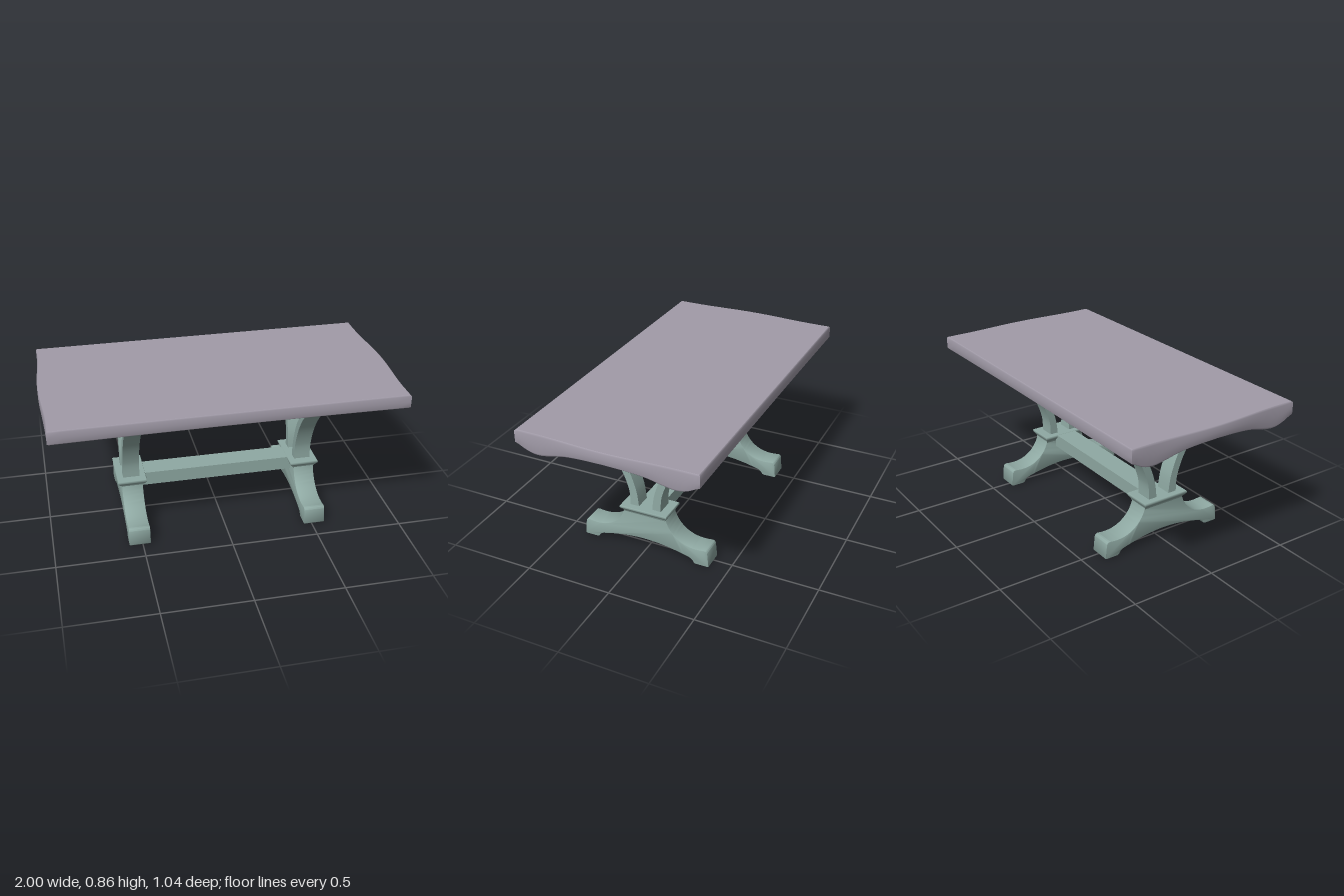
import * as THREE from 'three';
import { toCreasedNormals } from 'three/addons/utils/BufferGeometryUtils.js';

const topMaterial = new THREE.MeshStandardMaterial({ color: 0xa19ba8 });
const baseMaterial = new THREE.MeshStandardMaterial({ color: 0x8fa9a3 });

function addMesh(parent, name, geometry, material) {
  const mesh = new THREE.Mesh(geometry, material);
  mesh.name = name;
  parent.add(mesh);
  return mesh;
}

const points = list => list.map(([z, y]) => new THREE.Vector2(z, y));

// Extrudes a side profile (z, y) to a width along x, centred on x = 0.
function extrudeSide(shape, width, bevel) {
  const geometry = new THREE.ExtrudeGeometry(shape, {
    depth: width - 2 * bevel, curveSegments: 20, bevelEnabled: bevel > 0,
    bevelSize: bevel, bevelThickness: bevel, bevelOffset: -bevel, bevelSegments: 2,
  });
  geometry.translate(0, 0, bevel - width / 2).rotateY(-Math.PI / 2);
  return toCreasedNormals(geometry, 0.6);
}

// Height of the underside: a wide arch that dips into a lip along both long edges.
const underside = new THREE.SplineCurve(points([
  [0, 0.795], [0.12, 0.79], [0.23, 0.777], [0.32, 0.755], [0.39, 0.743], [0.45, 0.752], [0.5, 0.778], [0.52, 0.786],
])).getPoints(60);
function undersideAt(z) {
  const a = Math.min(Math.abs(z), 0.5199);
  const i = underside.findIndex(p => p.x > a);
  const p = underside[i - 1], q = underside[i];
  return p.y + (q.y - p.y) * (a - p.x) / (q.x - p.x);
}

// Table top: a box with bowed ends, softened rims and the arched underside.
function tabletopGeometry() {
  const levels = [0, 0.1, 0.5, 0.92, 1];
  const insets = [0.008, 0, 0, 0, 0.007];
  const geometry = new THREE.BoxGeometry(2, 4, 1.04, 24, 4, 52);
  const pos = geometry.attributes.position;
  for (let i = 0; i < pos.count; i++) {
    const level = Math.round(pos.getY(i) + 2);
    const x = pos.getX(i), z = pos.getZ(i);
    const bottom = undersideAt(z) - 0.006 * x * x;
    const halfLength = 0.981 + 0.018 * Math.cos(Math.PI * Math.min(1, Math.abs(z) / 0.42)) * 0.5 + 0.009;
    pos.setXYZ(i, x * (halfLength - insets[level]),
      bottom + (0.86 - bottom) * levels[level], z * (1 - insets[level] / 0.52));
  }
  geometry.computeVertexNormals();
  return geometry;
}

// Moulded collar: a box whose layers follow [height, half width, half depth].
function collarGeometry() {
  const layers = [[0.225, 0.06, 0.128], [0.24, 0.063, 0.131], [0.251, 0.075, 0.137],
    [0.257, 0.08, 0.141], [0.262, 0.084, 0.144], [0.271, 0.085, 0.145], [0.275, 0.082, 0.142]];
  const n = layers.length - 1;
  const geometry = new THREE.BoxGeometry(2, n, 2, 1, n, 1);
  const pos = geometry.attributes.position;
  for (let i = 0; i < pos.count; i++) {
    const [y, w, d] = layers[Math.round(pos.getY(i) + n / 2)];
    pos.setXYZ(i, pos.getX(i) * w, y, pos.getZ(i) * d);
  }
  geometry.computeVertexNormals();
  return geometry;
}

// Pedestal foot: two splayed feet joined by a low arch and a swept-in neck.
function footShape() {
  const s = new THREE.Shape();
  s.moveTo(-0.13, 0.24);
  s.lineTo(0.13, 0.24);
  s.bezierCurveTo(0.145, 0.17, 0.21, 0.1, 0.31, 0.1);
  s.quadraticCurveTo(0.335, 0.1, 0.36, 0.104);
  s.quadraticCurveTo(0.38, 0.104, 0.382, 0.085);
  s.lineTo(0.39, 0.006);
  s.quadraticCurveTo(0.388, 0, 0.38, 0);
  s.lineTo(0.312, 0);
  s.quadraticCurveTo(0.303, 0, 0.297, 0.01);
  s.quadraticCurveTo(0.288, 0.028, 0.265, 0.034);
  s.bezierCurveTo(0.16, 0.062, 0.08, 0.073, 0, 0.073);
  s.bezierCurveTo(-0.08, 0.073, -0.16, 0.062, -0.265, 0.034);
  s.quadraticCurveTo(-0.288, 0.028, -0.297, 0.01);
  s.quadraticCurveTo(-0.303, 0, -0.312, 0);
  s.lineTo(-0.38, 0);
  s.quadraticCurveTo(-0.388, 0, -0.39, 0.006);
  s.lineTo(-0.382, 0.085);
  s.quadraticCurveTo(-0.38, 0.104, -0.36, 0.104);
  s.quadraticCurveTo(-0.335, 0.1, -0.31, 0.1);
  s.bezierCurveTo(-0.21, 0.1, -0.145, 0.17, -0.13, 0.24);
  return s;
}

// Curved brace sweeping outward from the collar to the table top.
function braceShape() {
  const s = new THREE.Shape();
  s.moveTo(0.04, 0.265);
  s.lineTo(0.093, 0.265);
  s.splineThru(points([[0.101, 0.373], [0.151, 0.5], [0.24, 0.625], [0.352, 0.728]]));
  s.lineTo(0.372, 0.757);
  s.lineTo(0.305, 0.775);
  s.lineTo(0.296, 0.737);
  s.splineThru(points([[0.2, 0.634], [0.115, 0.527], [0.059, 0.387], [0.04, 0.265]]));
  return s;
}

export function createModel() {
  const table = new THREE.Group();
  table.name = 'trestleTable';
  addMesh(table, 'tabletop', tabletopGeometry(), topMaterial);

  const foot = extrudeSide(footShape(), 0.122, 0.004);
  const brace = extrudeSide(braceShape(), 0.095, 0);
  const collar = collarGeometry();

  for (const side of [1, -1]) {
    const trestle = new THREE.Group();
    trestle.name = side > 0 ? 'leftTrestle' : 'rightTrestle';
    trestle.position.x = side * 0.515;
    addMesh(trestle, 'pedestalFoot', foot, baseMaterial);
    addMesh(trestle, 'collar', collar, baseMaterial);
    addMesh(trestle, 'frontBrace', brace, baseMaterial);
    addMesh(trestle, 'backBrace', brace, baseMaterial).rotation.y = Math.PI;
    table.add(trestle);
  }

  // Stretcher between the two trestles
  const stretcher = new THREE.BoxGeometry(0.96, 0.081, 0.13);
  addMesh(table, 'stretcher', stretcher, baseMaterial).position.y = 0.2325;
  return table;
}
